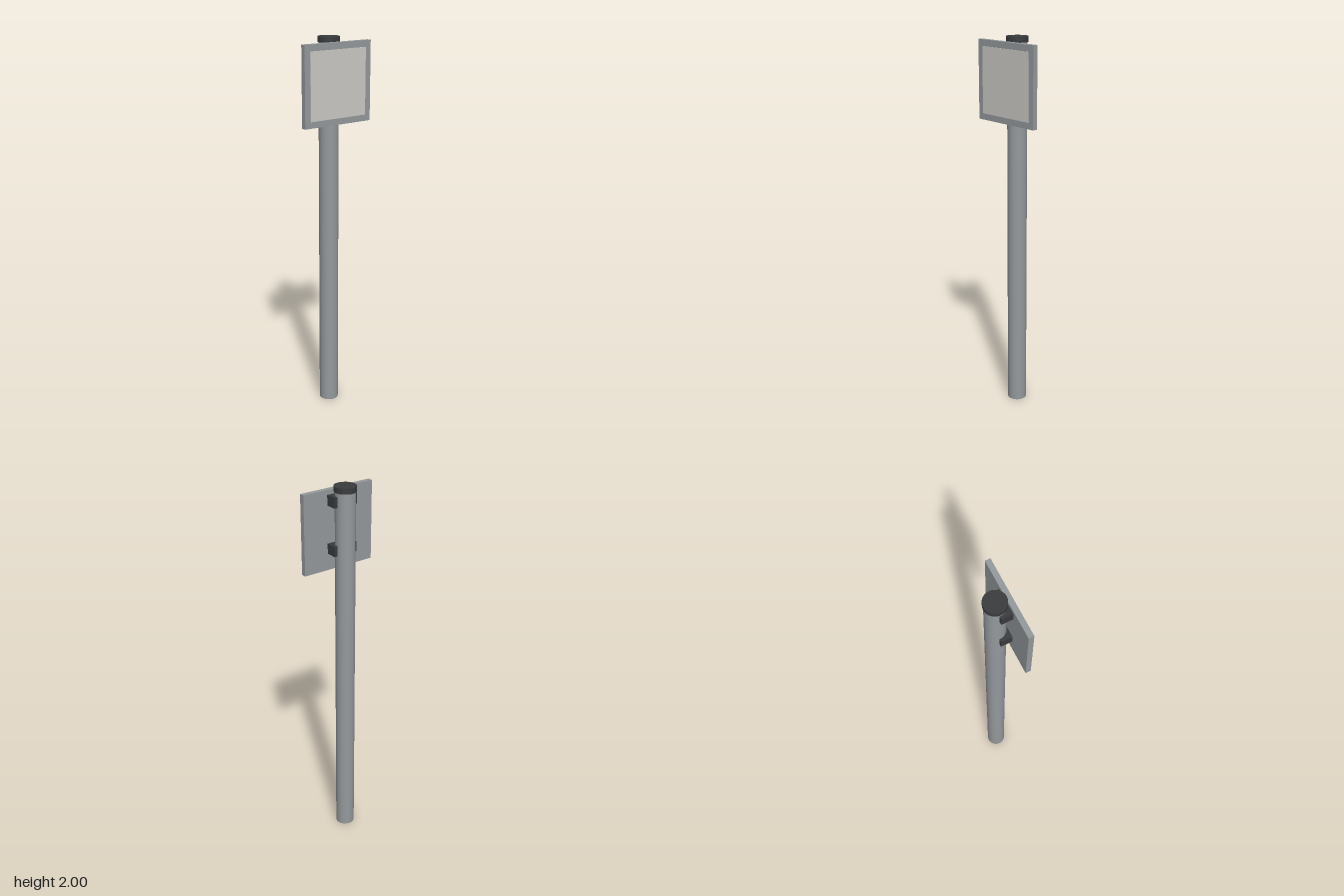
import * as THREE from 'three';

export function createModel() {
  const group = new THREE.Group();
  const steel = new THREE.MeshStandardMaterial({ color: 0x94999c });
  const dark = new THREE.MeshStandardMaterial({ color: 0x3a3b3d });
  const pale = new THREE.MeshStandardMaterial({ color: 0xcbcac4 });
  const poleZ = -0.015;

  const add = (name, geometry, material, x, y, z) => {
    const mesh = new THREE.Mesh(geometry, material);
    mesh.name = name;
    mesh.position.set(x, y, z);
    group.add(mesh);
  };

  // Round post with a slightly wider cap
  add('pole', new THREE.CylinderGeometry(0.051, 0.051, 1.975, 32), steel, 0, 0.9875, poleZ);
  add('poleCap', new THREE.CylinderGeometry(0.056, 0.056, 0.028, 32), dark, 0, 1.986, poleZ);

  // Square sign board with a thin raised face
  add('signBoard', new THREE.BoxGeometry(0.408, 0.408, 0.027), steel, 0, 1.772, 0.0525);
  add('signFace', new THREE.BoxGeometry(0.342, 0.342, 0.006), pale, 0, 1.772, 0.0655);

  // Clamps passing through the post and meeting the back of the board
  for (const [name, y] of [['upperBracket', 1.926], ['lowerBracket', 1.681]]) {
    add(name, new THREE.BoxGeometry(0.134, 0.053, 0.06), dark, 0, y, 0.011);
  }
  return group;
}
